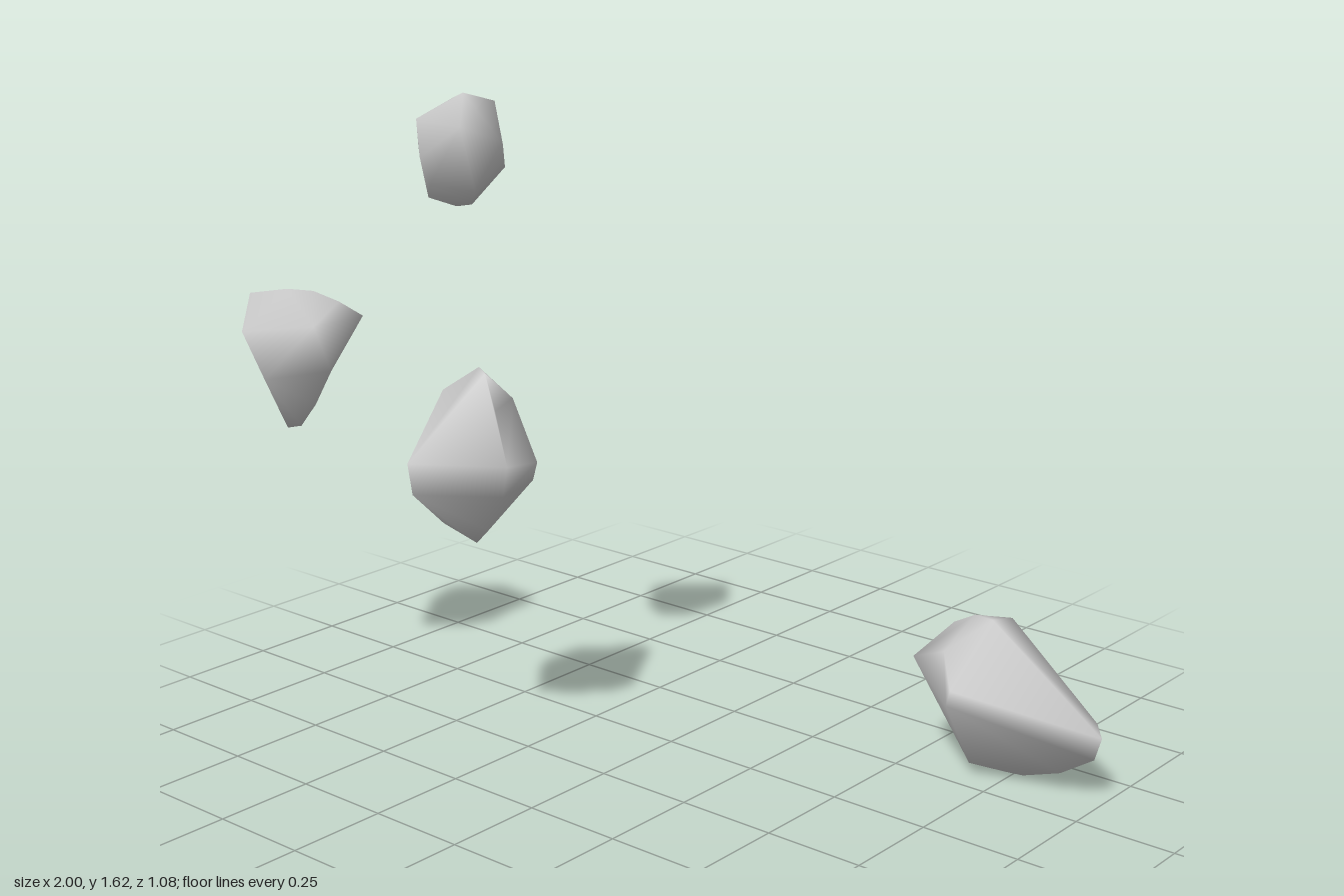
import * as THREE from 'three';
import { ConvexGeometry } from 'three/addons/geometries/ConvexGeometry.js';
import { mergeVertices } from 'three/addons/utils/BufferGeometryUtils.js';

// Scale each point's distance from the centre by a power, to round or unround a rock.
const reshape = (v, c, power) => {
  const d = v.clone().sub(c);
  return d.multiplyScalar(Math.pow(d.length(), power - 1)).add(c);
};

// Smooth-shaded stone skinned over its corner points. A power below 1 lets
// corners lie inside the hull, which leaves shallow dents.
function rock(name, corners, center, power = 1) {
  const c = new THREE.Vector3(...center);
  const points = corners.map((p) => reshape(new THREE.Vector3(...p), c, power));
  let geo = new ConvexGeometry(points);
  geo.deleteAttribute('normal');
  geo = mergeVertices(geo, 1e-5);
  const pos = geo.attributes.position;
  const v = new THREE.Vector3();
  for (let i = 0; i < pos.count; i++) {
    v.copy(reshape(v.fromBufferAttribute(pos, i), c, 1 / power));
    pos.setXYZ(i, v.x, v.y, v.z);
  }
  geo.computeVertexNormals();
  const mesh = new THREE.Mesh(geo, new THREE.MeshStandardMaterial({ color: 0xcccccc }));
  mesh.name = name;
  return mesh;
}

export function createModel() {
  const group = new THREE.Group();
  group.name = 'floatingRocks';

  // Small round stone at the top
  group.add(rock('topRock', [
    [-0.27, 1.62, 0.40], [-0.34, 1.60, 0.36], [-0.28, 1.59, 0.29],
    [-0.43, 1.53, 0.38], [-0.45, 1.48, 0.37], [-0.20, 1.51, 0.35],
    [-0.31, 1.48, 0.235], [-0.30, 1.43, 0.24], [-0.40, 1.43, 0.30],
    [-0.32, 1.48, 0.49], [-0.30, 1.42, 0.48], [-0.36, 1.56, 0.46],
    [-0.24, 1.55, 0.44], [-0.24, 1.40, 0.40], [-0.39, 1.37, 0.40],
    [-0.34, 1.35, 0.36], [-0.29, 1.36, 0.36],
  ], [-0.32, 1.48, 0.36]));

  // Flat-topped stone tapering to a point below, dented at the back
  group.add(rock('taperedRock', [
    [-0.90, 1.085, 0.40], [-0.85, 1.08, 0.36], [-0.97, 1.075, 0.46],
    [-0.78, 1.06, 0.34], [-0.75, 1.02, 0.29], [-0.75, 1.02, 0.45],
    [-0.75, 0.90, 0.40], [-0.88, 1.03, 0.285], [-1.00, 1.03, 0.41],
    [-1.00, 0.97, 0.32], [-0.98, 0.89, 0.38], [-0.975, 1.0, 0.48],
    [-0.91, 1.00, 0.54], [-0.90, 0.87, 0.485], [-0.86, 0.89, 0.345],
    [-0.80, 0.81, 0.41], [-0.87, 0.74, 0.40], [-0.91, 0.73, 0.41],
    [-0.94, 0.77, 0.41],
  ], [-0.88, 0.94, 0.41], 0.35));

  // Tall faceted stone in the middle
  group.add(rock('middleRock', [
    [-0.28, 0.98, 0.36], [-0.25, 0.97, 0.37], [-0.36, 0.92, 0.40],
    [-0.42, 0.85, 0.37], [-0.45, 0.75, 0.39], [-0.44, 0.72, 0.42],
    [-0.35, 0.77, 0.53], [-0.33, 0.70, 0.535], [-0.155, 0.77, 0.40],
    [-0.18, 0.69, 0.39], [-0.28, 0.665, 0.185], [-0.27, 0.71, 0.18],
    [-0.26, 0.89, 0.27], [-0.21, 0.89, 0.38], [-0.36, 0.75, 0.26],
    [-0.37, 0.59, 0.40], [-0.34, 0.56, 0.35], [-0.29, 0.55, 0.37],
    [-0.25, 0.59, 0.37],
  ], [-0.30, 0.75, 0.37]));

  // Largest stone, at ground level, with a blunt point at its side
  group.add(rock('largeRock', [
    [0.72, 0.405, -0.31], [0.64, 0.385, -0.36], [0.57, 0.345, -0.38],
    [0.67, 0.35, -0.48], [0.67, 0.14, -0.54], [0.72, 0.17, -0.52],
    [0.74, 0.04, -0.46], [0.73, 0, -0.38], [0.79, 0.015, -0.36],
    [0.67, 0.03, -0.31], [0.67, 0.21, -0.20], [0.68, 0.25, -0.20],
    [0.64, 0.33, -0.23], [0.50, 0.27, -0.43], [0.50, 0.22, -0.42],
    [0.515, 0.27, -0.29], [0.53, 0.30, -0.48], [0.57, 0.13, -0.35],
    [1.00, 0.17, -0.35], [0.98, 0.20, -0.36], [0.98, 0.11, -0.355],
    [0.89, 0.05, -0.36],
  ], [0.70, 0.20, -0.36]));

  return group;
}
